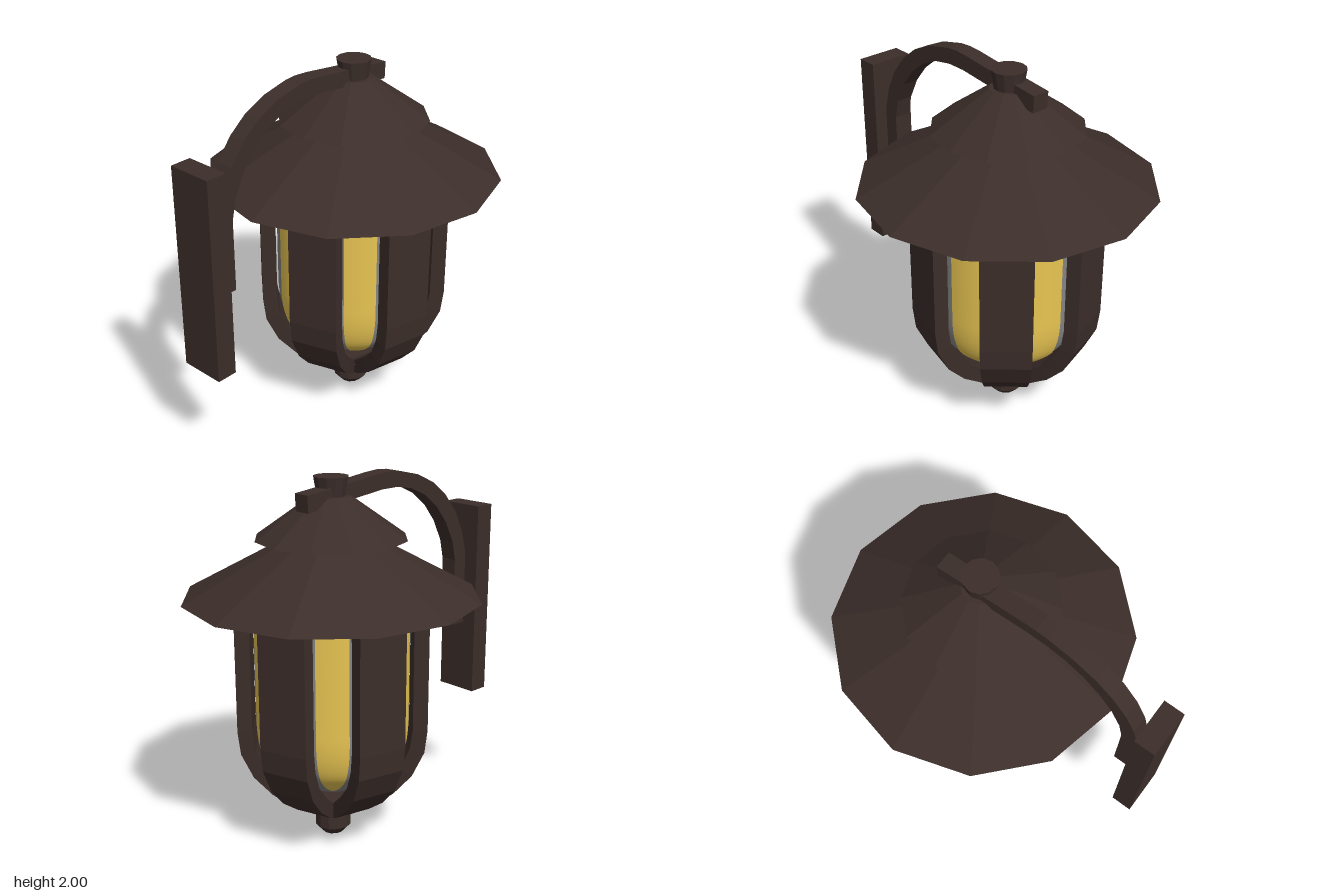
import * as THREE from 'three';

const AXIS_X = 0.165;
const brown = new THREE.MeshStandardMaterial({ color: 0x3c2e2a, flatShading: true });
const yellow = new THREE.MeshStandardMaterial({ color: 0xe8c552, side: THREE.DoubleSide });
const grey = new THREE.MeshStandardMaterial({ color: 0x858585, side: THREE.DoubleSide });

function add(parent, name, geometry, material = brown) {
  const mesh = new THREE.Mesh(geometry, material);
  mesh.name = name;
  parent.add(mesh);
  return mesh;
}

function meshFrom(points, index) {
  const g = new THREE.BufferGeometry();
  g.setAttribute('position', new THREE.Float32BufferAttribute(points.flat(), 3));
  g.setIndex(index);
  g.computeVertexNormals();
  return g;
}

// Faceted ring between two heights, turned to match the roof
function frustum(parent, name, rTop, rBottom, yTop, yBottom) {
  const g = new THREE.CylinderGeometry(rTop, rBottom, yTop - yBottom, 12);
  g.rotateY(0.09);
  g.translate(0, (yTop + yBottom) / 2, 0);
  return add(parent, name, g);
}

// Flat stave that bends inwards below; rows: outer r, outer y, inner r, inner y, half width
function staveGeometry() {
  const rows = [
    [0.51, 1.42, 0.43, 1.42, 0.137],
    [0.51, 0.65, 0.43, 0.65, 0.137],
    [0.495, 0.52, 0.415, 0.54, 0.135],
    [0.43, 0.38, 0.365, 0.43, 0.128],
    [0.33, 0.27, 0.28, 0.34, 0.118],
    [0.21, 0.185, 0.18, 0.26, 0.105],
    [0.1, 0.13, 0.08, 0.2, 0.08],
  ];
  const points = [], index = [];
  for (const [ro, yo, ri, yi, w] of rows) {
    points.push([w, yo, ro], [-w, yo, ro], [-w, yi, ri], [w, yi, ri]);
  }
  for (let i = 0; i < rows.length - 1; i++) {
    for (let j = 0; j < 4; j++) {
      const a = i * 4 + j, b = i * 4 + (j + 1) % 4;
      index.push(a, b, b + 4, a, b + 4, a + 4);
    }
  }
  const n = points.length - 4;
  index.push(0, 2, 1, 0, 3, 2, n, n + 1, n + 2, n, n + 2, n + 3);
  return meshFrom(points, index);
}

// Window profile: radius, height, half width
function windowRows() {
  const curve = new THREE.CatmullRomCurve3([
    [0.428, 0.75, 0.086], [0.427, 0.67, 0.086], [0.415, 0.57, 0.081], [0.385, 0.48, 0.068],
    [0.335, 0.42, 0.048], [0.28, 0.375, 0.025], [0.235, 0.345, 0],
  ].map((p) => new THREE.Vector3(...p)));
  return [new THREE.Vector3(0.428, 1.4, 0.086), ...curve.getPoints(18)];
}

// Curved pane narrowing to a point at the bottom
function windowGeometry(rows) {
  const cols = 6, points = [], index = [];
  rows.forEach(({ x: r, y, z: w }, i) => {
    const half = Math.asin(Math.max(w, 0) / r);
    for (let j = 0; j <= cols; j++) {
      const a = half * (2 * j / cols - 1);
      points.push([r * Math.sin(a), y, r * Math.cos(a)]);
      if (i < rows.length - 1 && j < cols) {
        const k = i * (cols + 1) + j, d = k + cols + 1;
        index.push(k, d, d + 1, k, d + 1, k + 1);
      }
    }
  });
  return meshFrom(points, index);
}

// Bent square bar, drawn as a side outline
function armGeometry() {
  const outer = [[-0.835, 1.03], [-0.835, 1.45], [-0.8, 1.58], [-0.74, 1.7], [-0.65, 1.81], [-0.55, 1.89],
    [-0.42, 1.95], [-0.27, 1.985], [-0.2, 1.99], [-0.12, 1.985], [0.08, 1.962], [0.38, 1.932]];
  const inner = [[0.375, 1.84], [0.05, 1.878], [-0.15, 1.9], [-0.26, 1.9], [-0.37, 1.88], [-0.48, 1.83],
    [-0.58, 1.75], [-0.66, 1.65], [-0.72, 1.53], [-0.745, 1.42], [-0.745, 1.03]];
  const shape = new THREE.Shape([...outer, ...inner].map((p) => new THREE.Vector2(...p)));
  const g = new THREE.ExtrudeGeometry(shape, { depth: 0.095, bevelEnabled: false });
  g.translate(-AXIS_X, 0, -0.0475);
  return g;
}

export function createModel() {
  const model = new THREE.Group();
  model.name = 'wallLantern';

  const lantern = new THREE.Group();
  lantern.name = 'lantern';
  lantern.position.x = AXIS_X;
  model.add(lantern);

  // Two-tier roof and its fittings
  frustum(lantern, 'lowerRoof', 0.22, 0.795, 1.685, 1.37);
  frustum(lantern, 'upperRoof', 0.1, 0.405, 1.9, 1.68);
  frustum(lantern, 'topCap', 0.093, 0.073, 2, 1.88);
  frustum(lantern, 'bottomCup', 0.23, 0.1, 0.235, 0.14);
  frustum(lantern, 'bottomKnob', 0.1, 0.1, 0.15, 0.045);
  frustum(lantern, 'bottomKnobTip', 0.1, 0.06, 0.045, 0);

  // Inner bowl
  const rows = windowRows();
  const profile = rows.map((p) => new THREE.Vector2(p.x - 0.01, p.y));
  profile.push(new THREE.Vector2(0.15, 0.3), new THREE.Vector2(0.07, 0.275), new THREE.Vector2(0, 0.27));
  add(lantern, 'innerBowl', new THREE.LatheGeometry(profile.reverse(), 48), grey);

  // Six staves with a window in each gap
  const stave = staveGeometry(), pane = windowGeometry(rows);
  for (let i = 0; i < 6; i++) {
    const angle = THREE.MathUtils.degToRad(-10 + 60 * i);
    add(lantern, 'stave', stave).rotation.y = angle;
    add(lantern, 'window', pane, yellow).rotation.y = angle + Math.PI / 6;
  }

  // Wall bracket
  const bracket = new THREE.Group();
  bracket.name = 'bracket';
  bracket.position.set(AXIS_X, 0, -0.015);
  bracket.rotation.y = 0.043;
  model.add(bracket);
  add(bracket, 'arm', armGeometry());
  add(bracket, 'wallPlate', new THREE.BoxGeometry(0.115, 1.12, 0.25))
    .position.set(-0.897 - AXIS_X, 1.17, -0.005);

  return model;
}
